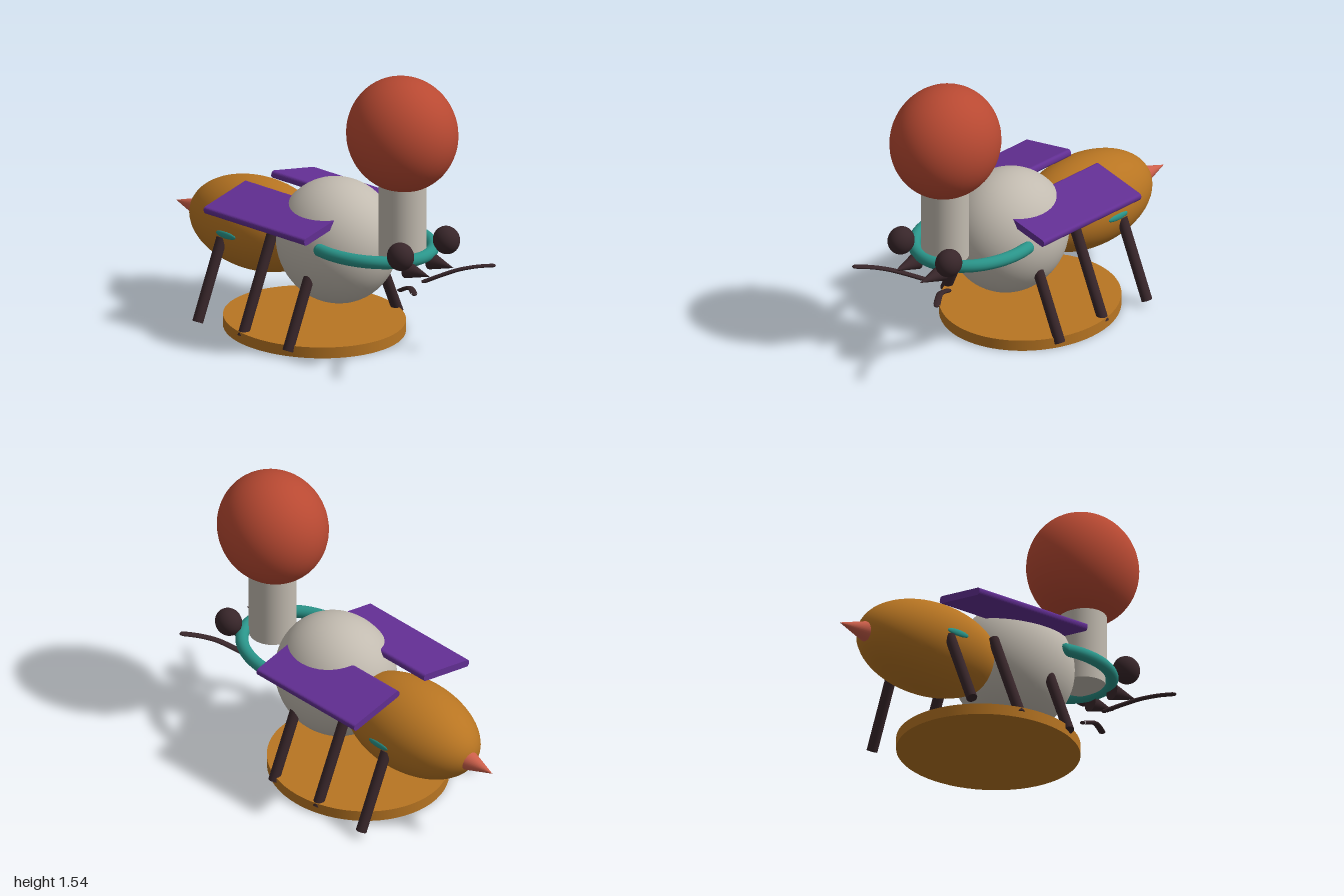
import * as THREE from 'three';

const material = (name, color) => Object.assign(new THREE.MeshStandardMaterial({ color }), { name });

export function createModel() {
  const model = new THREE.Group();
  model.name = 'bee';
  const red = material('brick red', 0xb84932);
  const coral = material('coral', 0xcc5f4a);
  const grey = material('warm grey', 0xc2bbb0);
  const amber = material('amber', 0xb87522);
  const violet = material('violet', 0x632f94);
  const teal = material('teal', 0x2a958a);
  const dark = material('dark brown', 0x38262a);

  const add = (name, geometry, mat, x = 0, y = 0, z = 0) => {
    const mesh = new THREE.Mesh(geometry, mat);
    mesh.name = name;
    mesh.position.set(x, y, z);
    model.add(mesh);
    return mesh;
  };
  const ellipsoid = (name, mat, [x, y, z], [rx, ry, rz]) => {
    const mesh = add(name, new THREE.SphereGeometry(1, 48, 32), mat, x, y, z);
    mesh.scale.set(rx, ry, rz);
    return mesh;
  };
  // Cylinder between two points
  const rod = (name, mat, a, b, radius) => {
    const from = new THREE.Vector3(...a), to = new THREE.Vector3(...b);
    const axis = to.clone().sub(from);
    const mesh = add(name, new THREE.CylinderGeometry(radius, radius, axis.length(), 20), mat);
    mesh.position.copy(from).add(to).multiplyScalar(0.5);
    mesh.quaternion.setFromUnitVectors(new THREE.Vector3(0, 1, 0), axis.normalize());
    return mesh;
  };

  // Oval base
  const base = add('base', new THREE.CylinderGeometry(1, 1, 0.06, 64), amber, 0, 0.03, -0.01);
  base.scale.set(0.455, 1, 0.497);

  // Body, neck and head
  ellipsoid('thorax', grey, [0, 0.527, 0.153], [0.305, 0.335, 0.335]);
  ellipsoid('abdomen', amber, [0, 0.478, -0.415], [0.255, 0.243, 0.43]);
  add('neck', new THREE.CylinderGeometry(0.125, 0.125, 0.42, 40), grey, 0, 0.77, 0.62);
  ellipsoid('head', red, [0, 1.23, 0.618], [0.28, 0.307, 0.305]);
  add('stinger', new THREE.ConeGeometry(0.055, 0.175, 28).rotateX(-Math.PI / 2), coral, 0, 0.46, -0.9125);

  // Curved collar, open at the back with round ends
  const start = -0.25, end = Math.PI + 0.25, collarPoints = [];
  for (let i = 0; i <= 24; i++) {
    const a = start + (end - start) * i / 24;
    collarPoints.push(new THREE.Vector3(0.285 * Math.cos(a), 0.575, 0.38 + 0.37 * Math.sin(a)));
  }
  const collarCurve = new THREE.CatmullRomCurve3(collarPoints);
  add('collar', new THREE.TubeGeometry(collarCurve, 72, 0.034, 18), teal);
  for (const p of [collarPoints[0], collarPoints[24]])
    ellipsoid('collarEnd', teal, p.toArray(), [0.034, 0.034, 0.034]);

  // Wing slab with rounded long edges
  const w = 0.17, t = 0.02, r = 0.018;
  const profile = new THREE.Shape();
  profile.moveTo(-w + r, -t);
  profile.lineTo(w - r, -t);
  profile.quadraticCurveTo(w, -t, w, 0);
  profile.quadraticCurveTo(w, t, w - r, t);
  profile.lineTo(-w + r, t);
  profile.quadraticCurveTo(-w, t, -w, 0);
  profile.quadraticCurveTo(-w, -t, -w + r, -t);
  const wingGeometry = new THREE.ExtrudeGeometry(profile, { depth: 0.72, bevelEnabled: false, curveSegments: 6 });
  wingGeometry.translate(0, 0, -0.36);

  for (const s of [1, -1]) {
    const side = s > 0 ? 'left' : 'right';
    add(side + 'Wing', wingGeometry, violet, s * 0.2575, 0.693, -0.045).rotation.z = -s * 0.2;

    // Legs: z and height of the hip
    for (const [part, z, top] of [['Front', 0.193, 0.41], ['Middle', -0.13, 0.54], ['Rear', -0.452, 0.45]])
      rod(side + part + 'Leg', dark, [s * 0.42, 0.03, z], [s * (0.42 - (top - 0.03) * 0.44), top, z], 0.029);

    // Face parts
    ellipsoid(side + 'Eye', dark, [s * 0.175, 0.633, 0.77], [0.067, 0.075, 0.075]);
    add(side + 'Mandible', new THREE.ConeGeometry(0.046, 0.16, 24).rotateX(Math.PI / 2), dark, s * 0.091, 0.532, 0.82);

    // Flattened feeler
    const flat = 0.4;
    const path = [[0.09, 0.405, 0.69], [0.135, 0.445, 0.765], [0.19, 0.485, 0.85], [0.25, 0.505, 0.925], [0.3, 0.512, 0.985]]
      .map(([x, y, z]) => new THREE.Vector3(s * x, y / flat, z));
    const feeler = new THREE.TubeGeometry(new THREE.CatmullRomCurve3(path), 24, 0.019, 10);
    feeler.scale(1, flat, 1);
    const feelerMat = dark;
    add(side + 'Feeler', feeler, feelerMat);
    for (const p of [path[0], path[4]])
      ellipsoid(side + 'FeelerTip', dark, [p.x, p.y * flat, p.z], [0.015, 0.008, 0.015]);

    // Small marking on the flank
    ellipsoid(side + 'FlankMark', teal, [s * 0.25, 0.478, -0.41], [0.012, 0.02, 0.07]);
  }
  return model;
}
